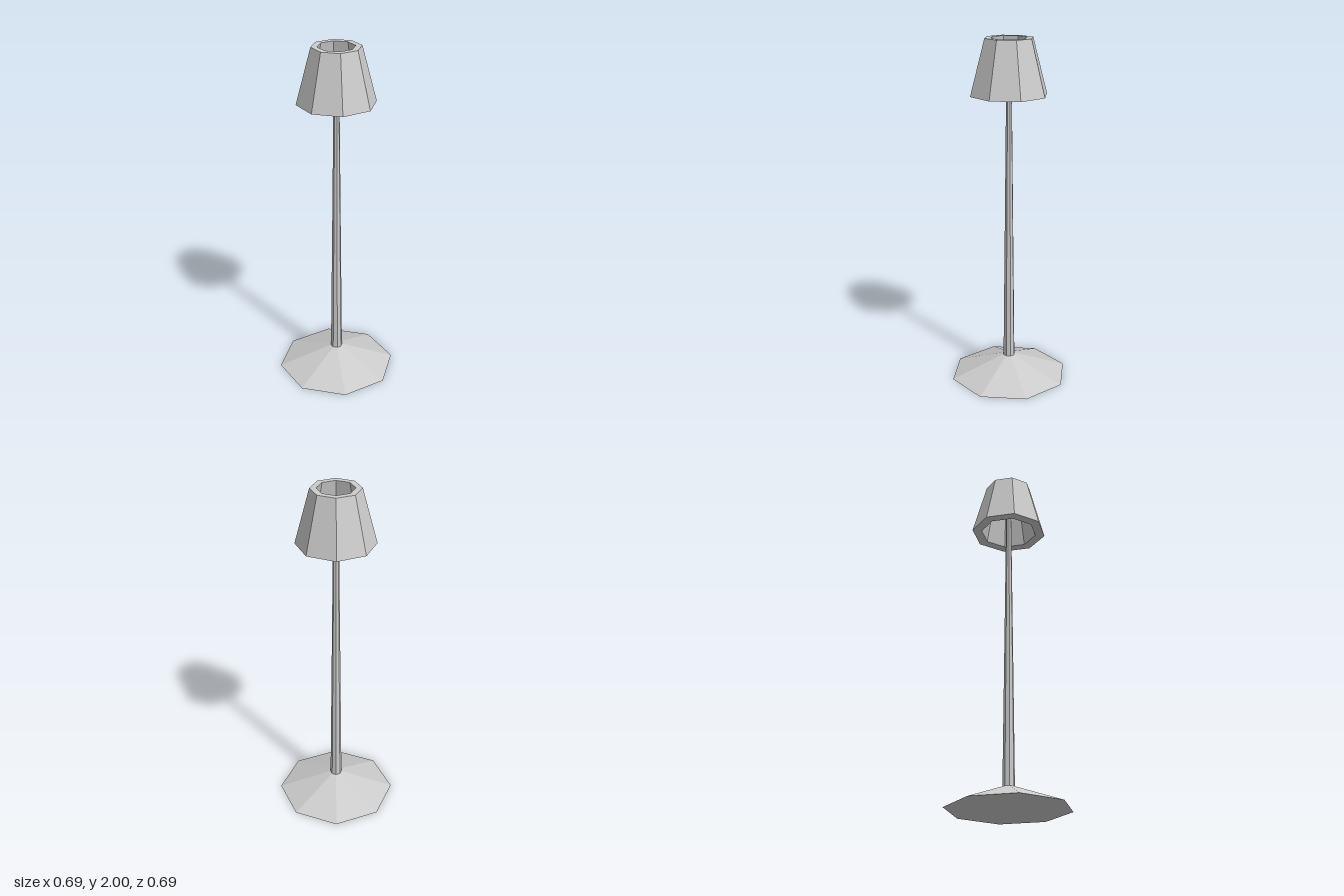
import * as THREE from 'three';

const SIDES = 8;

export function createModel() {
  const model = new THREE.Group();
  model.name = 'floorLamp';
  const material = new THREE.MeshStandardMaterial({ color: 0xcccccc, flatShading: true });

  const add = (name, geometry, y = 0) => {
    const mesh = new THREE.Mesh(geometry, material);
    mesh.name = name;
    mesh.position.y = y;
    model.add(mesh);
  };
  // Eight-sided tapered solid standing between two heights
  const taper = (name, bottomRadius, topRadius, y0, y1) =>
    add(name, new THREE.CylinderGeometry(topRadius, bottomRadius, y1 - y0, SIDES), (y0 + y1) / 2);

  // Low conical foot and slender pole reaching into the shade
  taper('base', 0.347, 0.036, 0, 0.12);
  taper('pole', 0.034, 0.015, 0.11, 1.85);

  // Thick-walled shade, open at top and bottom
  const profile = [
    [0.22, 1.69], [0.137, 2], [0.102, 2], [0.164, 1.69], [0.22, 1.69],
  ].map(([r, y]) => new THREE.Vector2(r, y));
  add('shade', new THREE.LatheGeometry(profile, SIDES));

  return model;
}
